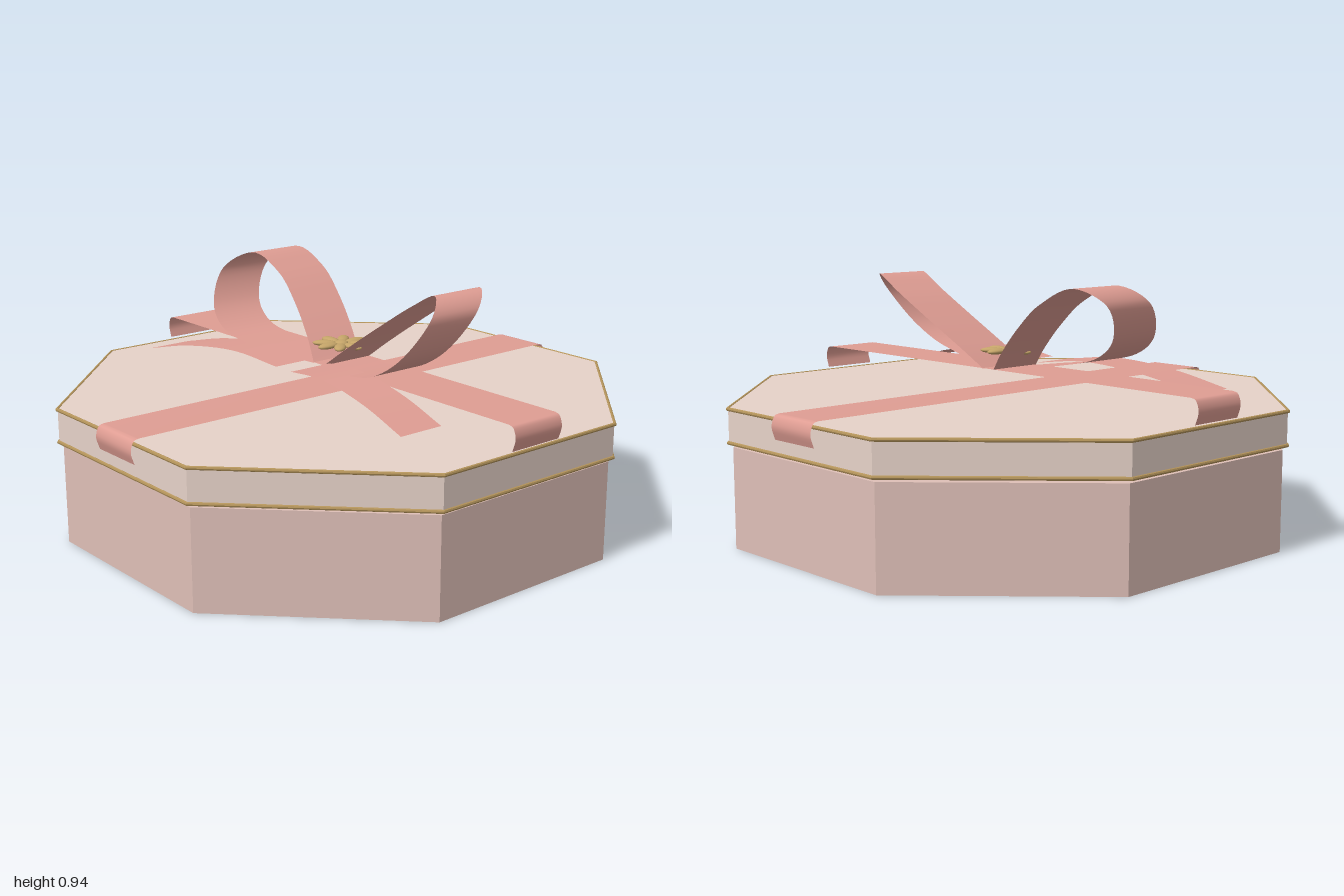
import * as THREE from 'three';

const paint = (color, flatShading = false, side = THREE.FrontSide) =>
  new THREE.MeshStandardMaterial({ color, flatShading, side });

const bodyMat = paint(0xdebfb7, true);
const lidMat = paint(0xe6d2c8, true);
const goldTrimMat = paint(0xb3935a, true);
const goldMat = paint(0xc4a468);
const ribbonMat = paint(0xdf9d93, false, THREE.DoubleSide);

const OCT = Math.cos(Math.PI / 8); // apothem / circumradius

function add(parent, name, geometry, material) {
  const mesh = new THREE.Mesh(geometry, material);
  mesh.name = name;
  parent.add(mesh);
  return mesh;
}

// Octagonal prism with a flat side to the front
function prism(apothem, y0, y1) {
  const r = apothem / OCT;
  return new THREE.CylinderGeometry(r, r, y1 - y0, 8)
    .rotateY(Math.PI / 8)
    .translate(0, (y0 + y1) / 2, 0);
}

// Thin cord round the octagon
function cord(apothem, y, r) {
  return new THREE.TorusGeometry(apothem / OCT, r, 8, 8)
    .rotateZ(Math.PI / 8)
    .rotateX(Math.PI / 2)
    .translate(0, y, 0);
}

// Thin ribbon: sweeps a line of the given width (along z) through the points
function strip(points, width) {
  const pos = [], index = [];
  points.forEach((p, i) => {
    pos.push(p.x, p.y, p.z - width / 2, p.x, p.y, p.z + width / 2);
    if (i > 0) {
      const a = 2 * i - 2;
      index.push(a, a + 1, a + 2, a + 1, a + 3, a + 2);
    }
  });
  const g = new THREE.BufferGeometry();
  g.setAttribute('position', new THREE.Float32BufferAttribute(pos, 3));
  g.setIndex(index);
  g.computeVertexNormals();
  return g;
}

const smooth = (pts, n) =>
  new THREE.CatmullRomCurve3(pts.map(p => new THREE.Vector3(...p))).getPoints(n);

// Straight ribbon across the lid whose ends curl down
function bandGeometry(y) {
  const end = smooth([[0.965, y, 0], [0.985, y - 0.006, 0], [0.998, y - 0.042, 0], [0.985, y - 0.088, 0]], 10);
  const left = end.map(p => new THREE.Vector3(-p.x, p.y, 0)).reverse();
  return strip([...left, ...end], 0.22);
}

export function createModel() {
  const model = new THREE.Group();
  model.name = 'giftBox';

  // Box, lid and gold edging
  add(model, 'boxBody', prism(0.965, 0, 0.367), bodyMat);
  add(model, 'lid', prism(0.978, 0.38, 0.509), lidMat);
  add(model, 'lowerTrim', cord(0.979, 0.384, 0.007), goldTrimMat);
  add(model, 'upperTrim', cord(0.979, 0.505, 0.007), goldTrimMat);

  // Crossing ribbons
  add(model, 'lengthRibbon', bandGeometry(0.524).rotateY(Math.PI / 2), ribbonMat);
  add(model, 'crossRibbon', bandGeometry(0.606), ribbonMat);

  // Bow: one loop and one tail, mirrored to the other side
  const loop = strip(smooth([
    [0.03, 0.606, 0], [0.107, 0.674, -0.035], [0.25, 0.785, -0.085], [0.385, 0.877, -0.112],
    [0.52, 0.937, -0.09], [0.594, 0.877, 0], [0.545, 0.75, 0.085], [0.44, 0.674, 0.112],
    [0.28, 0.636, 0.09], [0.13, 0.617, 0.045], [0.03, 0.604, 0],
  ], 64), 0.22);
  const tail = strip(smooth([
    [0.045, 0.615, 0.185], [0.26, 0.636, 0.215], [0.52, 0.611, 0.25], [0.738, 0.562, 0.28],
  ], 20), 0.18);
  for (const [side, s] of [['left', 1], ['right', -1]]) {
    add(model, side + 'BowLoop', loop, ribbonMat).scale.x = s;
    add(model, side + 'BowTail', tail, ribbonMat).scale.x = s;
  }

  // Gold flower on the knot
  const flower = new THREE.Group();
  flower.name = 'flower';
  flower.position.y = 0.667;
  model.add(flower);
  const petal = new THREE.SphereGeometry(1, 16, 10).scale(0.045, 0.011, 0.022).translate(0.065, 0, 0);
  for (let i = 0; i < 8; i++) {
    add(flower, 'petal', petal, goldMat).rotation.y = i * Math.PI / 4;
  }
  add(flower, 'flowerCentre', new THREE.SphereGeometry(1, 16, 10).scale(0.026, 0.012, 0.026), goldMat);

  return model;
}
